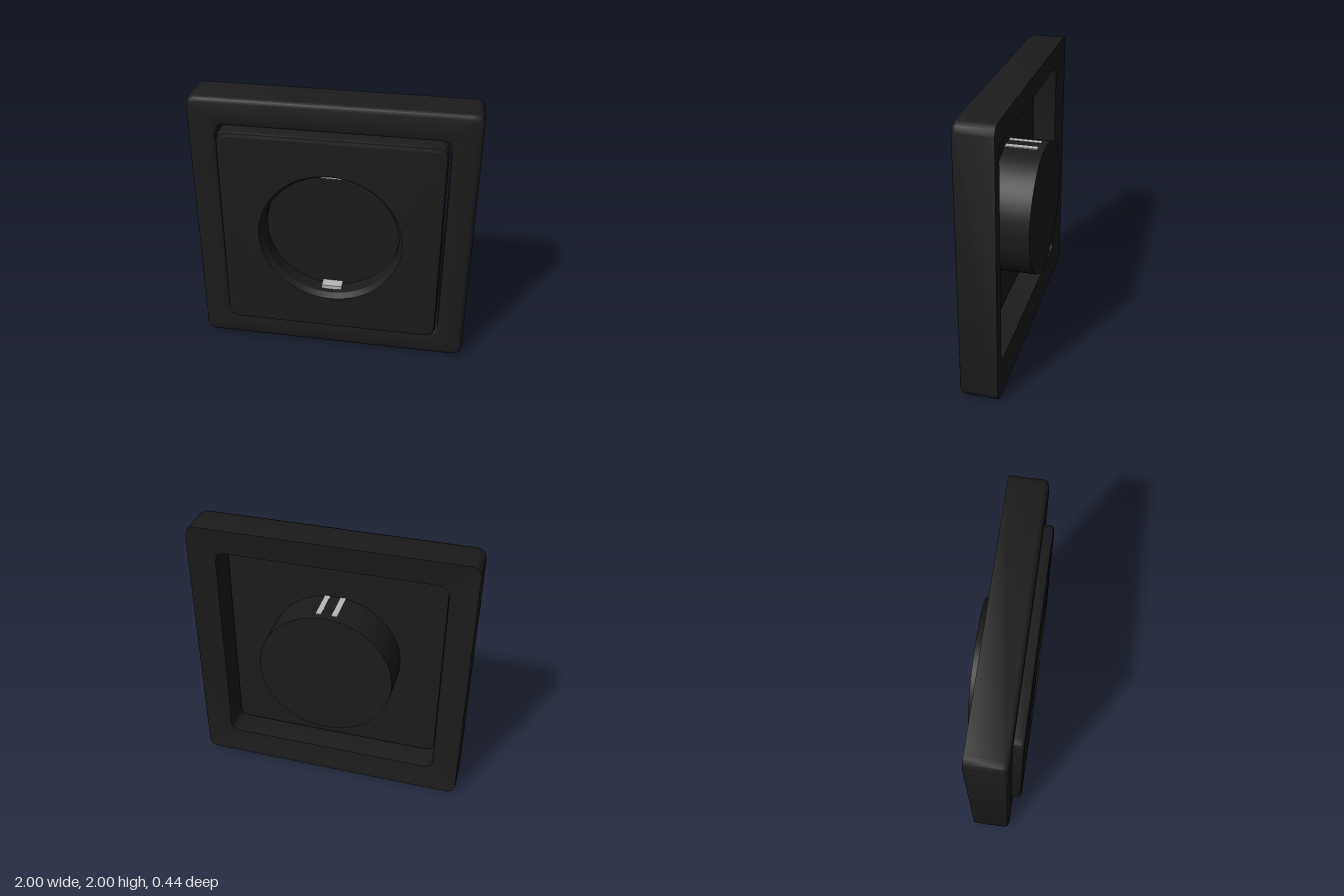
import * as THREE from 'three';
import { toCreasedNormals } from 'three/addons/utils/BufferGeometryUtils.js';

const CORNER_STEPS = 2;

// Counter-clockwise outline of a rounded square
function roundedSquare(half, radius) {
  const points = [];
  for (let c = 0; c < 4; c++) {
    const mid = Math.PI / 4 + c * Math.PI / 2;
    const cx = Math.sign(Math.cos(mid)) * (half - radius);
    const cy = Math.sign(Math.sin(mid)) * (half - radius);
    for (let s = 0; s <= CORNER_STEPS; s++) {
      const a = (c + s / CORNER_STEPS) * Math.PI / 2;
      points.push(new THREE.Vector2(cx + radius * Math.cos(a), cy + radius * Math.sin(a)));
    }
  }
  return points;
}

// Flat rounded square with a round hole
function piercedSquare(half, radius, holeRadius) {
  const shape = new THREE.Shape(roundedSquare(half, radius));
  shape.holes.push(new THREE.Path().absarc(0, 0, holeRadius, 0, Math.PI * 2, true));
  return new THREE.ShapeGeometry(shape, 32);
}

// Skin through rounded squares given as [half size, corner radius, z]
function loftSquares(sections) {
  const positions = [], indices = [];
  const n = 4 * (CORNER_STEPS + 1);
  for (const [half, radius, z] of sections) {
    for (const p of roundedSquare(half, radius)) positions.push(p.x, p.y, z);
  }
  for (let i = 0; i < sections.length - 1; i++) {
    for (let j = 0; j < n; j++) {
      const k = (j + 1) % n;
      const a = i * n + j, b = i * n + k, c = b + n, d = a + n;
      indices.push(a, b, c, a, c, d);
    }
  }
  const geometry = new THREE.BufferGeometry();
  geometry.setAttribute('position', new THREE.Float32BufferAttribute(positions, 3));
  geometry.setIndex(indices);
  return toCreasedNormals(geometry, 0.85);
}

export function createModel() {
  const model = new THREE.Group();
  model.name = 'wallSocket';
  const black = new THREE.MeshStandardMaterial({ color: 0x1b1b1b });
  black.name = 'black plastic';
  const metal = new THREE.MeshStandardMaterial({ color: 0xb8b8b8 });
  metal.name = 'contact metal';

  const body = new THREE.Group();
  body.name = 'body';
  body.position.y = 1;
  model.add(body);

  function add(name, geometry, material, x = 0, y = 0, z = 0) {
    const mesh = new THREE.Mesh(geometry, material);
    mesh.name = name;
    mesh.position.set(x, y, z);
    body.add(mesh);
  }

  // Outer frame: rounded front edges, back face sloping inwards
  add('frame', loftSquares([
    [1, 0.06, -0.133], [1, 0.06, 0.11], [0.991, 0.058, 0.133], [0.965, 0.05, 0.143],
    [0.825, 0.07, 0.143], [0.807, 0.062, 0.137], [0.8, 0.06, 0.12],
    [0.81, 0.06, -0.105], [1, 0.06, -0.133],
  ]), black);

  // Cover plate edge, with a narrow open gap to the frame
  add('coverEdge', loftSquares([
    [0.788, 0.06, 0.065], [0.788, 0.06, 0.19], [0.78, 0.055, 0.206], [0.755, 0.045, 0.212],
  ]), black);

  // Cover front, rising slightly towards the round opening
  const front = piercedSquare(0.755, 0.045, 0.515);
  const pos = front.attributes.position;
  for (let i = 0; i < pos.count; i++) {
    pos.setZ(i, Math.hypot(pos.getX(i), pos.getY(i)) < 0.6 ? 0.22 : 0.212);
  }
  front.computeVertexNormals();
  add('coverFront', front, black);
  add('coverBack', piercedSquare(0.788, 0.06, 0.486).rotateY(Math.PI), black, 0, 0, 0.065);

  // Recess wall with a chamfered rim
  const wall = [[0.515, 0.22], [0.489, 0.178], [0.486, 0.065]].map(p => new THREE.Vector2(...p));
  const wallGeometry = new THREE.LatheGeometry(wall, 64).rotateX(Math.PI / 2);
  add('recessWall', toCreasedNormals(wallGeometry, 0.3), black);

  // Round housing behind the cover; its front cap is the recess floor
  const housing = new THREE.CylinderGeometry(0.487, 0.487, 0.284, 64).rotateX(Math.PI / 2);
  add('housing', housing, black, 0, 0, -0.076);

  // Earth contacts at top and bottom: a tab in the recess, two strips outside
  for (const side of [1, -1]) {
    const end = side > 0 ? 'top' : 'bottom';
    add(end + 'ContactTab', new THREE.BoxGeometry(0.15, 0.03, 0.076), metal, 0, side * 0.471, 0.104);
    for (const x of [-0.057, 0.057]) {
      add(end + 'ContactStrip', new THREE.BoxGeometry(0.04, 0.012, 0.235), metal, x, side * 0.482, -0.053);
    }
  }
  return model;
}
